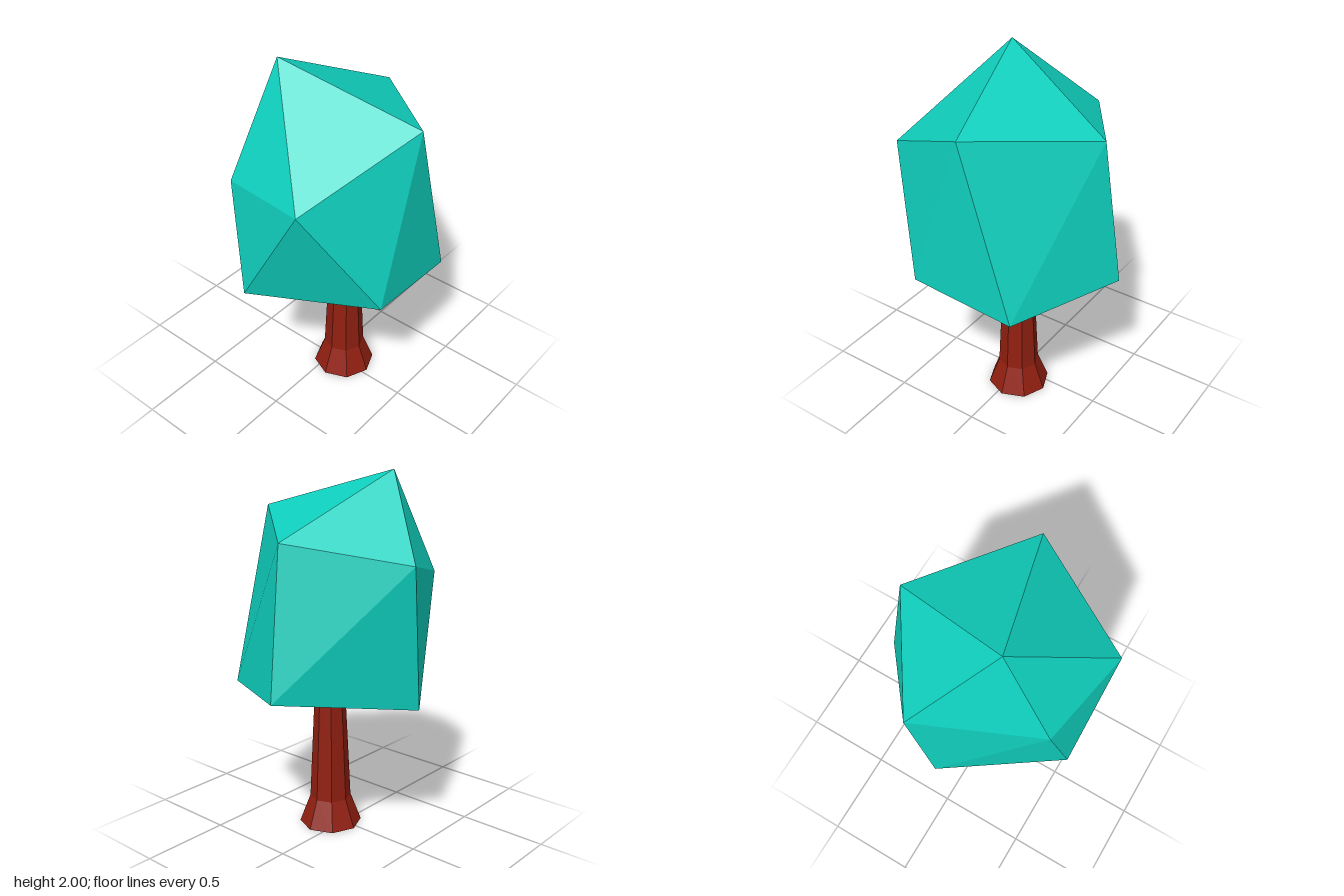
import * as THREE from 'three';

// Trunk: eight-sided column with a flared foot
function createTrunk() {
  const profile = [[0, 0], [0.175, 0], [0.115, 0.16], [0.072, 1.06], [0, 1.06]]
    .map(([r, y]) => new THREE.Vector2(r, y));
  const trunk = new THREE.Mesh(
    new THREE.LatheGeometry(profile, 8),
    new THREE.MeshStandardMaterial({ color: 0x901f10, flatShading: true })
  );
  trunk.name = 'trunk';
  trunk.position.set(0.073, 0, -0.03);
  return trunk;
}

// Crown: irregular icosahedron, its underside dented up around the trunk
function createCrown() {
  const top = [-0.185, 2, 0.185];
  const upper = [ // shoulder ring, counter-clockwise seen from above
    [0.285, 1.49, 0.6], [0.547, 1.775, -0.01], [-0.005, 1.682, -0.49],
    [-0.565, 1.585, -0.125], [-0.24, 1.425, 0.495],
  ];
  const lower = [ // rim ring, each point lies between upper[i] and upper[i + 1]
    [0.563, 0.883, 0.29], [0.535, 0.815, -0.297], [-0.035, 0.883, -0.597],
    [-0.53, 0.815, -0.02], [-0.115, 0.81, 0.578],
  ];
  const dent = [0.03, 1.04, 0];

  const corners = [];
  for (let i = 0; i < 5; i++) {
    const j = (i + 1) % 5;
    corners.push(
      top, upper[i], upper[j],
      upper[i], lower[i], upper[j],
      lower[i], lower[j], upper[j],
      lower[j], lower[i], dent
    );
  }
  const geometry = new THREE.BufferGeometry();
  geometry.setAttribute('position', new THREE.Float32BufferAttribute(corners.flat(), 3));
  geometry.computeVertexNormals();
  const crown = new THREE.Mesh(
    geometry,
    new THREE.MeshStandardMaterial({ color: 0x0fcfbd, flatShading: true })
  );
  crown.name = 'crown';
  return crown;
}

export function createModel() {
  const tree = new THREE.Group();
  tree.name = 'tree';
  tree.add(createTrunk(), createCrown());
  return tree;
}
